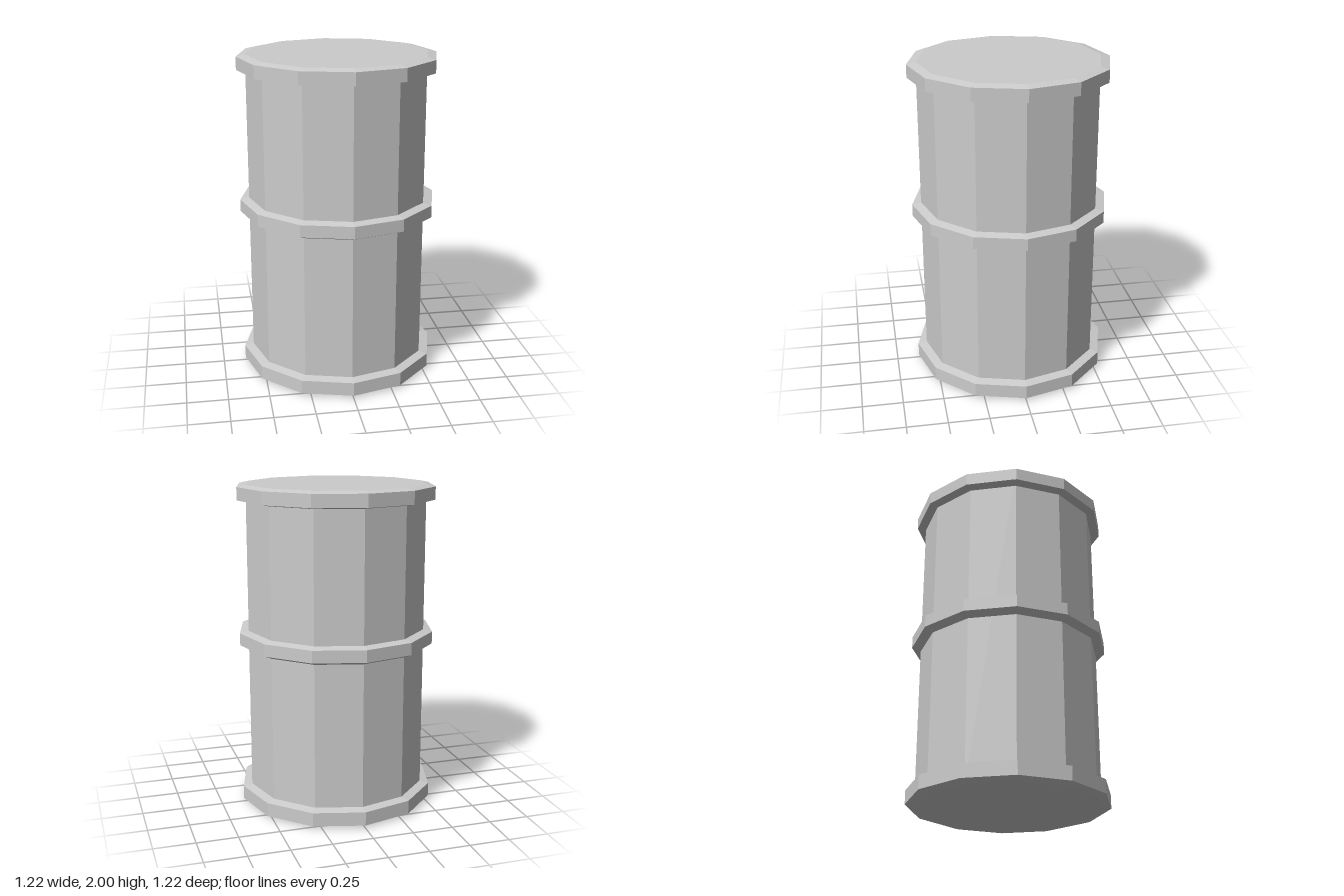
import * as THREE from 'three';

const SIDES = 12;
const BODY_RADIUS = 0.555;
const HOOP_RADIUS = 0.61;

export function createModel() {
  const group = new THREE.Group();
  const material = new THREE.MeshStandardMaterial({ color: 0xcccccc, flatShading: true });

  const add = (name, geometry) => {
    const mesh = new THREE.Mesh(geometry, material);
    mesh.name = name;
    group.add(mesh);
  };

  // Faceted drum with flat lid and base
  const body = new THREE.CylinderGeometry(BODY_RADIUS, BODY_RADIUS, 2, SIDES);
  body.translate(0, 1, 0);
  add('drumBody', body);

  // Bevelled hoops: bottom edge, lower corner, upper corner, top edge
  const hoops = {
    bottomHoop: [0, 0.018, 0.103, 0.115],
    middleHoop: [1.005, 1.028, 1.103, 1.115],
    topHoop: [1.9, 1.91, 1.988, 2],
  };
  for (const [name, [y0, y1, y2, y3]] of Object.entries(hoops)) {
    const profile = [
      new THREE.Vector2(BODY_RADIUS, y0),
      new THREE.Vector2(HOOP_RADIUS, y1),
      new THREE.Vector2(HOOP_RADIUS, y2),
      new THREE.Vector2(BODY_RADIUS, y3),
    ];
    add(name, new THREE.LatheGeometry(profile, SIDES));
  }

  return group;
}
